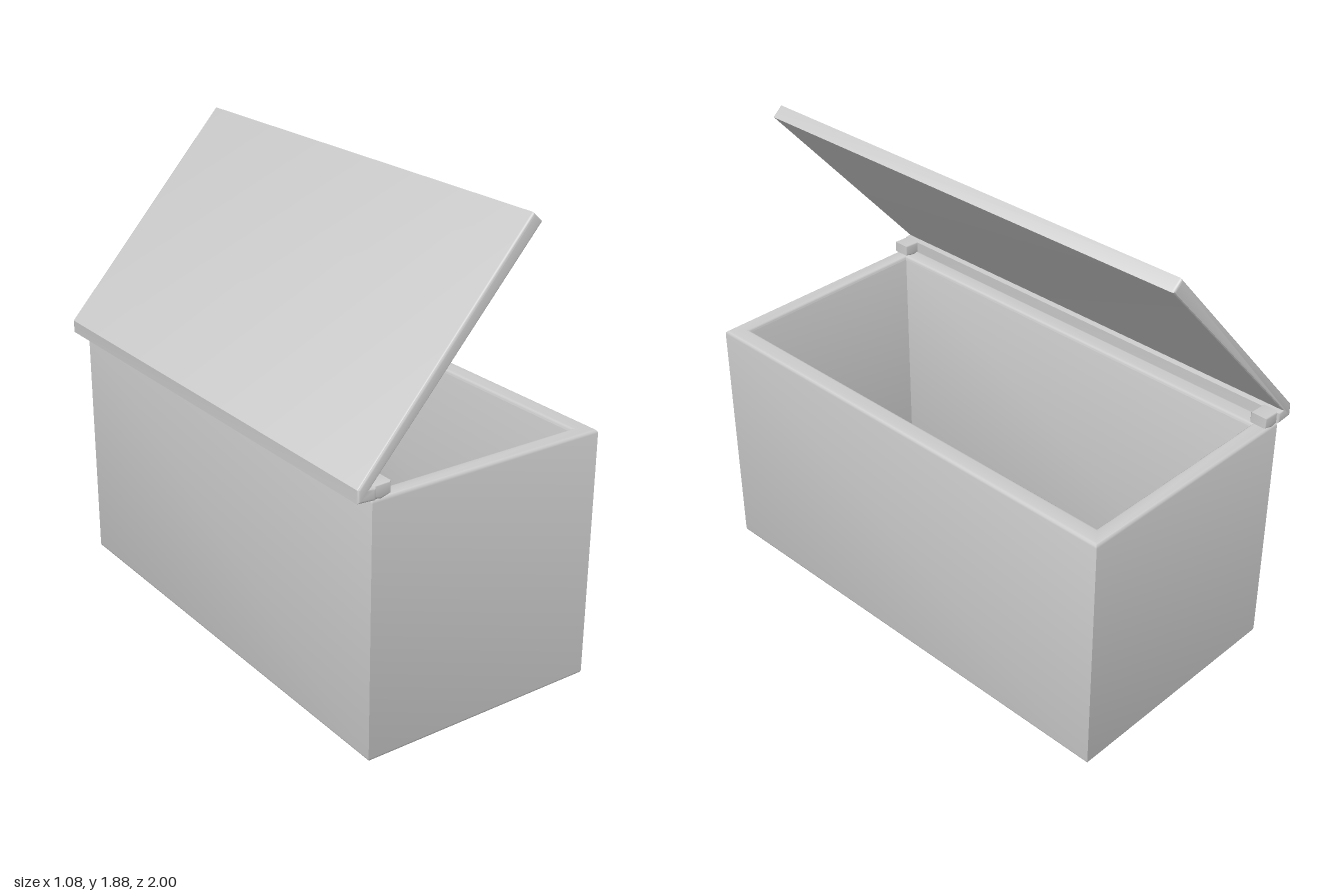
import * as THREE from 'three';
import { toCreasedNormals } from 'three/addons/utils/BufferGeometryUtils.js';

const material = new THREE.MeshStandardMaterial({ color: 0xcccccc, side: THREE.DoubleSide });

function addPart(parent, name, geometry) {
  const mesh = new THREE.Mesh(toCreasedNormals(geometry, 0.6), material);
  mesh.name = name;
  parent.add(mesh);
  return mesh;
}

const polygon = (points) => points.map(([x, y]) => new THREE.Vector2(x, y));
const rectangle = (x0, x1, y) => polygon([[x0, -y], [x1, -y], [x1, y], [x0, y]]);

// Extrusion with softened edges whose outer size matches the shape and length
function softExtrude(shape, length, bevel) {
  return new THREE.ExtrudeGeometry(shape, {
    depth: length - 2 * bevel, bevelThickness: bevel, bevelSize: bevel,
    bevelOffset: -bevel, bevelSegments: 3,
  }).translate(0, 0, bevel - length / 2);
}

export function createModel() {
  const group = new THREE.Group();

  // Open box: four walls with a rounded rim
  const height = 1.015;
  const walls = new THREE.Shape(rectangle(-0.475, 0.535, 0.99));
  walls.holes.push(new THREE.Path(rectangle(-0.4, 0.46, 0.925).reverse()));
  addPart(group, 'boxWalls',
    softExtrude(walls, height, 0.014).rotateX(-Math.PI / 2).translate(0, height / 2, 0));

  // Floor closing the bottom of the box
  addPart(group, 'boxFloor',
    new THREE.BoxGeometry(0.9, 0.07, 1.89).translate(0.03, 0.036, 0));

  // Tilted lid with a turned-down lip along the hinge edge
  const lid = new THREE.Group();
  lid.name = 'lid';
  group.add(lid);
  const lidProfile = new THREE.Shape(polygon([
    [-0.54, 1.02], [-0.465, 1.015], [-0.465, 1.062], [-0.49, 1.064],
    [0.212, 1.84], [0.17, 1.876], [-0.54, 1.07],
  ]));
  const panel = softExtrude(lidProfile, 2, 0.01);
  // The panel narrows very slightly towards its free edge
  const pos = panel.attributes.position;
  for (let i = 0; i < pos.count; i++) {
    pos.setZ(i, pos.getZ(i) * (1 - 0.012 * (pos.getY(i) - 1.02)));
  }
  addPart(lid, 'lidPanel', panel);

  // Short tabs at both ends of the hinge edge
  const tabProfile = new THREE.Shape(polygon([
    [-0.5, 1.025], [-0.44, 1.01], [-0.398, 1.022], [-0.398, 1.066], [-0.5, 1.062],
  ]));
  for (const side of [-1, 1]) {
    addPart(lid, side > 0 ? 'frontHingeTab' : 'backHingeTab',
      softExtrude(tabProfile, 0.07, 0.006)).position.z = side * 0.955;
  }
  return group;
}
